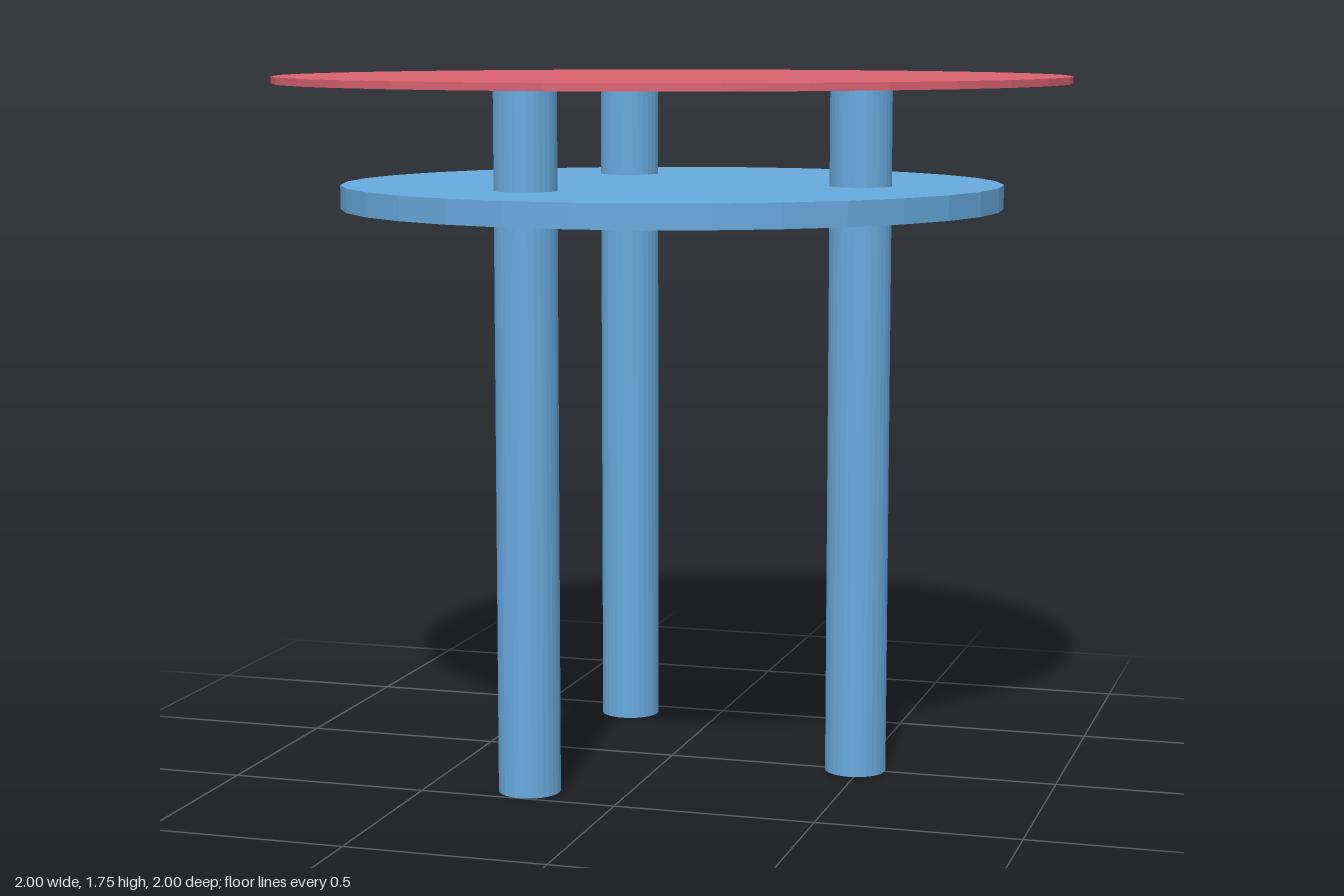
import * as THREE from 'three';

const SIDES = 32;

export function createModel() {
  const group = new THREE.Group();
  const blue = new THREE.MeshStandardMaterial({ color: 0x66a9dc, flatShading: true });
  const red = new THREE.MeshStandardMaterial({ color: 0xd9626f, flatShading: true });

  // Upright cylinder spanning bottom..top
  function disc(name, radius, bottom, top, material, x = 0, z = 0) {
    const geometry = new THREE.CylinderGeometry(radius, radius, top - bottom, SIDES);
    const mesh = new THREE.Mesh(geometry, material);
    mesh.name = name;
    mesh.position.set(x, (bottom + top) / 2, z);
    group.add(mesh);
  }

  // Thin top and the thicker plate below it
  disc('tableTop', 1, 1.737, 1.755, red);
  disc('supportPlate', 0.833, 1.425, 1.485, blue);

  // Three legs, evenly spaced around the centre
  for (let i = 0; i < 3; i++) {
    const a = (i * Math.PI * 2) / 3;
    disc(`leg${i + 1}`, 0.077, 0, 1.737, blue, 0.487 * Math.cos(a), 0.487 * Math.sin(a));
  }

  return group;
}
